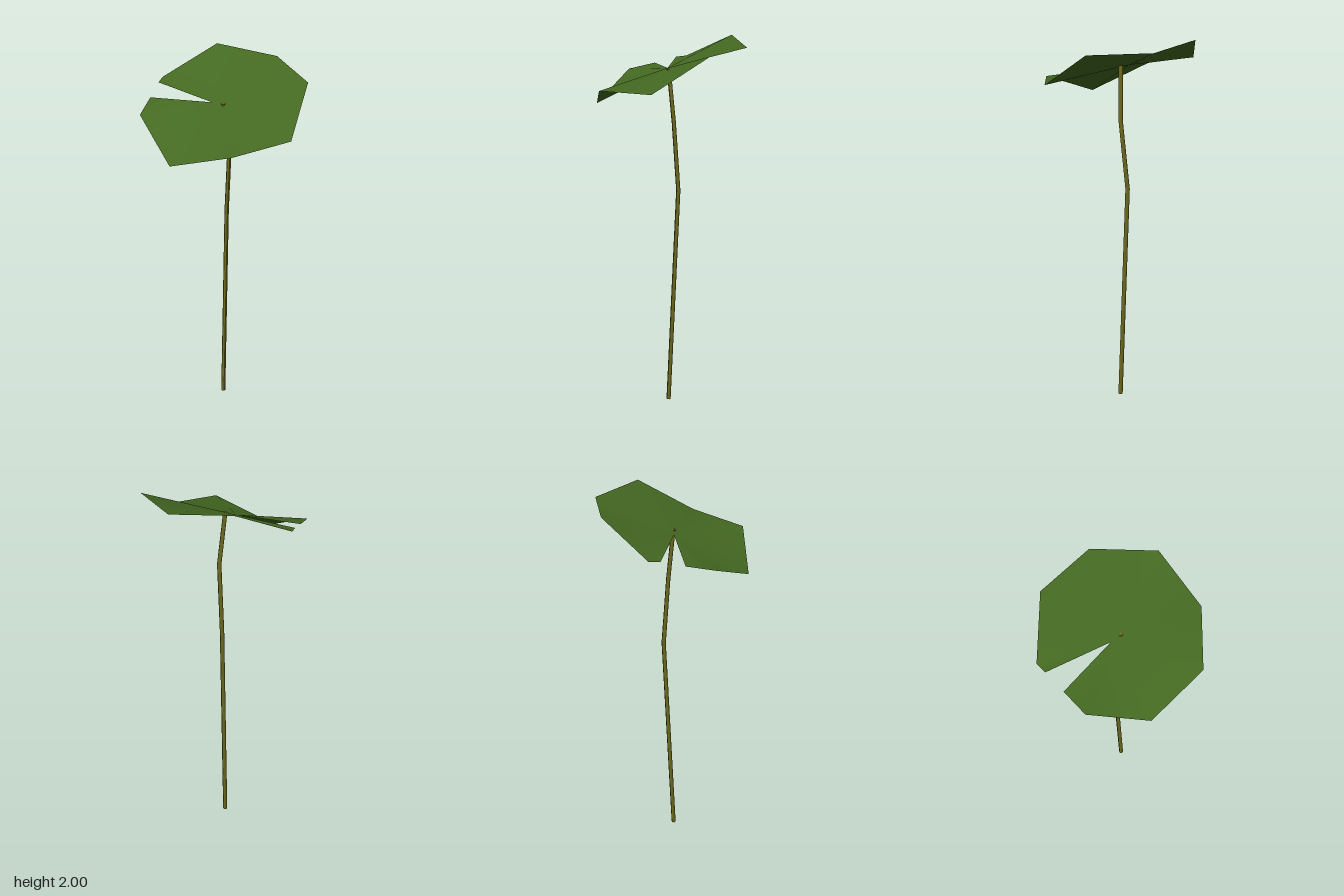
import * as THREE from 'three';

const leafGreen = new THREE.MeshStandardMaterial({ color: 0x456a22, side: THREE.DoubleSide });
leafGreen.name = 'leaf green';
const stemOlive = new THREE.MeshStandardMaterial({ color: 0x6c6a1e });
stemOlive.name = 'stem olive';

// Notched leaf: a fan from the notch tip round the rim
function createLeaf() {
  const tip = [-0.045, 1.845, -0.05];
  const rim = [
    [-0.24, 1.86, -0.33], [-0.205, 1.865, -0.375], [0.1, 2, -0.395], [0.36, 1.97, -0.205],
    [0.397, 1.96, 0.12], [0.22, 1.78, 0.352], [-0.1, 1.77, 0.395], [-0.342, 1.655, 0.18],
    [-0.4, 1.8, -0.122], [-0.312, 1.83, -0.235],
  ];
  const index = [];
  for (let i = 1; i < rim.length; i++) index.push(0, i + 1, i);
  const geometry = new THREE.BufferGeometry();
  geometry.setAttribute('position', new THREE.Float32BufferAttribute([tip, ...rim].flat(), 3));
  geometry.setIndex(index);
  geometry.computeVertexNormals();
  const leaf = new THREE.Mesh(geometry, leafGreen);
  leaf.name = 'leaf';
  return leaf;
}

// Thin bent stem: a cylinder whose rings are moved onto the path
function createStem() {
  const path = [[0, 0, -0.01], [0.033, 1.2, -0.05], [0.034, 1.57, -0.013], [0, 1.85, -0.01]];
  const spans = path.length - 1;
  const geometry = new THREE.CylinderGeometry(0.011, 0.012, spans, 6, spans);
  const p = geometry.attributes.position;
  for (let i = 0; i < p.count; i++) {
    const [x, y, z] = path[Math.round(p.getY(i) + spans / 2)];
    p.setXYZ(i, p.getX(i) + x, y, p.getZ(i) + z);
  }
  geometry.computeVertexNormals();
  const stem = new THREE.Mesh(geometry, stemOlive);
  stem.name = 'stem';
  return stem;
}

export function createModel() {
  const model = new THREE.Group();
  model.name = 'lilyPad';
  model.add(createLeaf(), createStem());
  return model;
}
